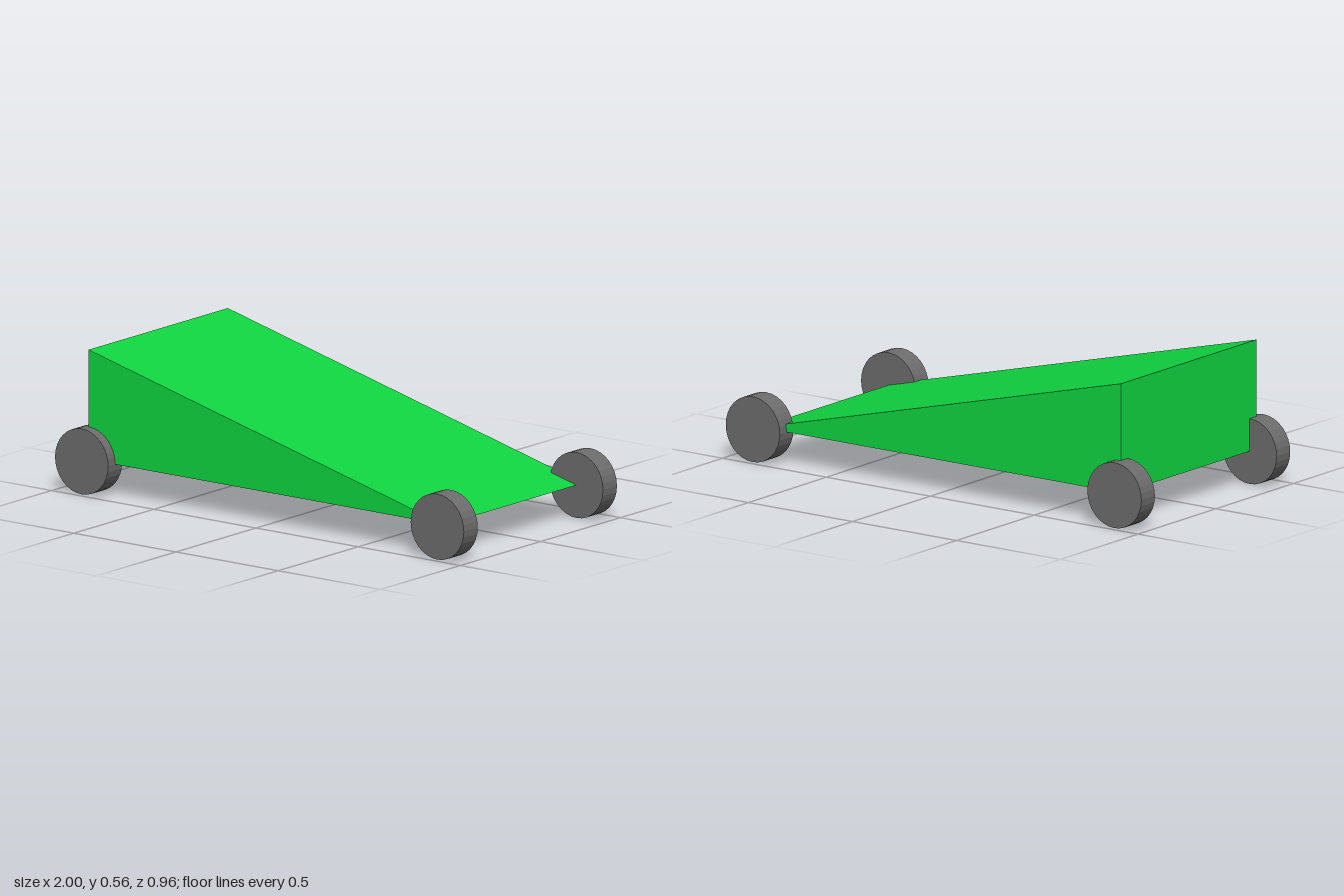
import * as THREE from 'three';

const HALF_LENGTH = 0.87, HALF_WIDTH = 0.435, AXLE_Y = 0.13, HEIGHT = 0.435;
const WHEEL_RADIUS = 0.13, WHEEL_WIDTH = 0.087;

export function createModel() {
  const model = new THREE.Group();
  model.name = 'wedgeCar';
  const green = new THREE.MeshStandardMaterial({ color: 0x0fd540, flatShading: true });
  const grey = new THREE.MeshStandardMaterial({ color: 0x6c6c6c, flatShading: true });

  // Wedge body: triangular side profile extruded across the width
  const profile = new THREE.Shape([
    new THREE.Vector2(-HALF_LENGTH, 0),
    new THREE.Vector2(HALF_LENGTH, 0),
    new THREE.Vector2(-HALF_LENGTH, HEIGHT),
  ]);
  const bodyGeometry = new THREE.ExtrudeGeometry(profile, { depth: 2 * HALF_WIDTH, bevelEnabled: false });
  bodyGeometry.translate(0, AXLE_Y, -HALF_WIDTH);
  const body = new THREE.Mesh(bodyGeometry, green);
  body.name = 'body';
  model.add(body);

  // Four wheels centred on the lower corners of the body
  const wheelGeometry = new THREE.CylinderGeometry(WHEEL_RADIUS, WHEEL_RADIUS, WHEEL_WIDTH, 32);
  wheelGeometry.rotateX(Math.PI / 2);
  for (const [sx, end] of [[-1, 'High'], [1, 'Low']]) {
    for (const [sz, side] of [[-1, 'Back'], [1, 'Front']]) {
      const wheel = new THREE.Mesh(wheelGeometry, grey);
      wheel.name = `wheel${end}End${side}`;
      wheel.position.set(sx * HALF_LENGTH, AXLE_Y, sz * HALF_WIDTH);
      model.add(wheel);
    }
  }
  return model;
}
